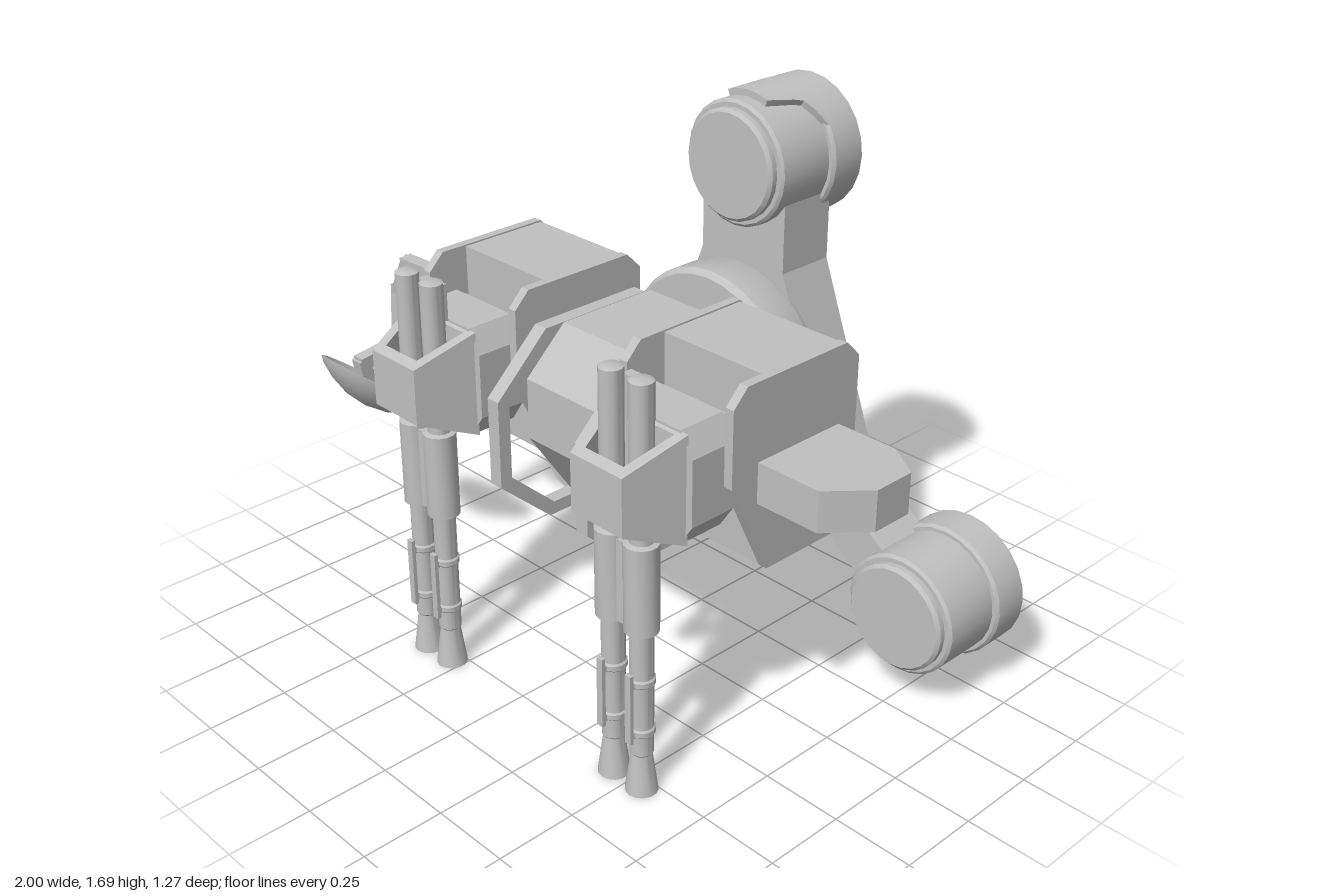
import * as THREE from 'three';
import { toCreasedNormals } from 'three/addons/utils/BufferGeometryUtils.js';

const grey = new THREE.MeshStandardMaterial({ color: 0xc0c0c0, side: THREE.DoubleSide });
grey.name = 'hull grey';

const add = (parent, name, geo, x = 0, y = 0, z = 0) => {
  const m = new THREE.Mesh(geo, grey);
  m.name = name;
  m.position.set(x, y, z);
  parent.add(m);
  return m;
};
const group = (parent, name, x = 0, y = 0, z = 0) => {
  const g = new THREE.Group();
  g.name = name;
  g.position.set(x, y, z);
  parent.add(g);
  return g;
};
const vecs = pts => pts.map(p => new THREE.Vector2(p[0], p[1]));
const box = (w, h, d) => new THREE.BoxGeometry(w, h, d);

// Revolved profile of [radius, height], optionally laid along z
function turned(pts, sides = 24, alongZ = false) {
  const g = toCreasedNormals(new THREE.LatheGeometry(vecs(pts), sides), 0.6);
  return alongZ ? g.rotateX(Math.PI / 2) : g;
}
function extrude(pts, depth, hole) {
  const s = new THREE.Shape(vecs(pts));
  if (hole) s.holes.push(new THREE.Path(vecs(hole)));
  return new THREE.ExtrudeGeometry(s, { depth, bevelEnabled: false }).translate(0, 0, -depth / 2);
}
// Side profile of [z, y] points, centred on x
const sidePlate = (pts, width, hole) => extrude(pts, width, hole).rotateY(-Math.PI / 2);
// Plan outline of [x, z] points, centred on y
const planPlate = (pts, height, hole) => {
  const flip = a => a && a.map(p => [p[0], -p[1]]);
  return extrude(flip(pts), height, flip(hole)).rotateX(-Math.PI / 2);
};
// Straight square bar between two points
function beam(parent, name, a, b, t) {
  const A = new THREE.Vector3(...a), B = new THREE.Vector3(...b), dir = B.clone().sub(A);
  const m = add(parent, name, box(t, dir.length() + t * 0.6, t));
  m.position.copy(A).add(B).multiplyScalar(0.5);
  m.quaternion.setFromUnitVectors(new THREE.Vector3(0, 1, 0), dir.normalize());
}

// Drum with a wider rear band and stepped end caps
function engine(parent, x, y) {
  const g = group(parent, 'engine', x, y, 0);
  add(g, 'engineDrum', turned([[0, -0.635], [0.155, -0.635], [0.165, -0.625], [0.165, -0.6], [0.195, -0.6],
    [0.206, -0.59], [0.206, -0.48], [0.198, -0.47], [0.187, -0.47], [0.187, -0.285], [0.178, -0.277],
    [0.165, -0.277], [0.165, -0.26], [0.155, -0.25], [0, -0.25]], 24, true));
  return g;
}

// Curved tongue running forward from the band
function tongue() {
  const g = new THREE.PlaneGeometry(1, 1, 32, 2), p = g.attributes.position;
  for (let i = 0; i < p.count; i++) {
    const a = p.getX(i) * 2, d = Math.abs(a), row = Math.floor(i / 33);
    const front = d < 0.38 ? -0.325 : d < 0.54 ? -0.325 - (d - 0.38) * 0.7 : -0.437 - (d - 0.54) * 0.08;
    const r = row === 2 ? 0.18 : 0.206;
    p.setXYZ(i, r * Math.sin(a), r * Math.cos(a), row === 0 ? -0.48 : front);
  }
  return toCreasedNormals(g, 0.5);
}

// Tapered gun cradle: chamfered block with a trapezoid hoop in front
function cradle(parent) {
  const w = 0.165, h = 0.165, c = 0.045;
  const oct = [[-w + c, -h], [w - c, -h], [w, -h + c * 1.5], [w, h - c * 1.5], [w - c, h], [-w + c, h],
    [-w, h - c * 1.5], [-w, -h + c * 1.5]];
  add(parent, 'cradleBlock', extrude(oct, 0.15), 0, 0.94, 0.39);
  add(parent, 'cradleBack', extrude(oct.map(p => [p[0] * 0.9, p[1] * 0.9]), 0.03), 0, 0.94, 0.305);
  const hoop = planPlate([[-0.145, 0.46], [-0.095, 0.64], [0.095, 0.64], [0.145, 0.46]], 0.3,
    [[-0.11, 0.475], [-0.07, 0.61], [0.07, 0.61], [0.11, 0.475]]);
  const p = hoop.attributes.position;
  for (let i = 0; i < p.count; i++) {
    const t = (p.getZ(i) - 0.46) / 0.18;
    p.setY(i, Math.sign(p.getY(i)) * (0.16 - 0.075 * t));
  }
  hoop.computeVertexNormals();
  add(parent, 'cradleHoop', hoop, 0, 0.94, 0);
  add(parent, 'cradleLink', box(0.11, 0.16, 0.1), 0, 0.94, 0.26);
}

function barrel(parent, x) {
  const g = group(parent, 'barrel', x, 0, 0.535);
  add(g, 'barrelTube', turned([[0.018, 0.06], [0.03, 0], [0.047, 0], [0.03, 0.125], [0.034, 0.13], [0.034, 0.19],
    [0.039, 0.195], [0.039, 0.21], [0.034, 0.215], [0.034, 0.35], [0.039, 0.355], [0.039, 0.37], [0.034, 0.375],
    [0.034, 0.515], [0.049, 0.52], [0.049, 0.785], [0.034, 0.79], [0.034, 1.245], [0.026, 1.25], [0, 1.25]], 14));
  add(g, 'barrelRail', box(0.022, 0.22, 0.012), 0, 0.285, 0.046);
  for (const y of [0.2, 0.36]) add(g, 'railClip', box(0.022, 0.02, 0.03), 0, y, 0.036);
}

// Weapon pod on one side of the hull, s = +1 or -1
function pod(parent, s) {
  const g = group(parent, 'weaponPod', s * 0.418, 0, 0);
  add(g, 'podBox', sidePlate([[-0.11, 0.64], [0.225, 0.64], [0.23, 1.2], [-0.06, 1.2], [-0.11, 1.15]], 0.36));
  const cheek = [[-0.11, 0.64], [0.225, 0.64], [0.365, 0.93], [0.365, 1.155], [0.315, 1.205], [-0.06, 1.205], [-0.11, 1.155]];
  for (const e of [-1, 1]) add(g, 'podCheek', sidePlate(cheek, 0.028), e * 0.192);
  add(g, 'sideWing', planPlate([[0.2, -0.04], [0.4, -0.04], [0.507, 0.03], [0.507, 0.16], [0.41, 0.27], [0.2, 0.27]]
    .map(p => [s * p[0], p[1]]), 0.12), 0, 0.915, 0);
  cradle(g);
  for (const e of [-1, 1]) barrel(g, e * 0.055);
  add(g, 'sleeveJoiner', box(0.03, 0.25, 0.05), 0, 0.65, 0.535);
  add(g, 'barrelClamp', box(0.09, 0.11, 0.03), 0, 1.165, 0.49);
}

function dish(parent) {
  const g = group(parent, 'dishAssembly');
  const d = add(g, 'dish', turned([[0, -0.075], [0.07, -0.065], [0.13, -0.04], [0.175, -0.01], [0.19, 0.008],
    [0.18, 0.01], [0.125, -0.02], [0.065, -0.043], [0, -0.05]], 28), -0.81, 0.7, 0.385);
  d.rotation.x = -0.65;
  const path = [[-0.55, 1.08, 0.25], [-0.775, 1.08, 0.26], [-0.81, 0.99, 0.27], [-0.81, 0.81, 0.28],
    [-0.81, 0.79, 0.43], [-0.81, 0.67, 0.41]];
  for (let i = 1; i < path.length; i++) beam(g, 'dishArm', path[i - 1], path[i], 0.042);
  add(g, 'armBracket', box(0.03, 0.11, 0.11), -0.555, 1.08, 0.25);
}

export function createModel() {
  const root = new THREE.Group();
  root.name = 'walker';
  const body = group(root, 'body', 0.073, 0, 0);

  // Three-armed rear frame
  const half = [[0.16, 1.45], [0.16, 1.18], [0.385, 0.585], [0.59, 0.44], [0.53, 0.3], [0.33, 0.45]];
  const outline = [...half, ...half.map(p => [-p[0], p[1]]).reverse()];
  add(body, 'rearFrame', extrude(outline, 0.19), 0, 0, -0.415);

  // Engines at the three arm ends
  const top = engine(body, 0, 1.483);
  add(top, 'engineTongue', tongue());
  for (const s of [-1, 1]) engine(body, s * 0.69, 0.295);

  // Turntable joining frame and hull
  add(body, 'turntable', turned([[0, -0.33], [0.315, -0.33], [0.33, -0.305], [0.33, -0.19], [0.315, -0.172],
    [0, -0.172]], 32, true), 0, 0.85, 0);

  // Central hull
  add(body, 'hull', sidePlate([[-0.18, 0.72], [-0.04, 0.53], [0.2, 0.53], [0.375, 0.785], [0.375, 0.97],
    [0.235, 1.1], [-0.1, 1.1], [-0.18, 1.03]], 0.315));

  // Ring guards either side of the hull
  const ring = [[-0.165, 0.51], [0.035, 0.5], [0.3, 0.5], [0.48, 0.66], [0.48, 0.93], [0.3, 1.1], [-0.08, 1.1], [-0.165, 1.01]];
  const hole = [[-0.135, 0.73], [0.03, 0.54], [0.285, 0.54], [0.44, 0.68], [0.44, 0.91], [0.285, 1.06], [-0.07, 1.06], [-0.135, 1.0]];
  for (const s of [-1, 1]) {
    add(body, 'ringGuard', sidePlate(ring, 0.045, hole), s * 0.182);
    add(body, 'podAxle', box(0.12, 0.3, 0.24), s * 0.2, 0.88, 0.06);
    pod(body, s);
  }

  dish(root);
  return root;
}
